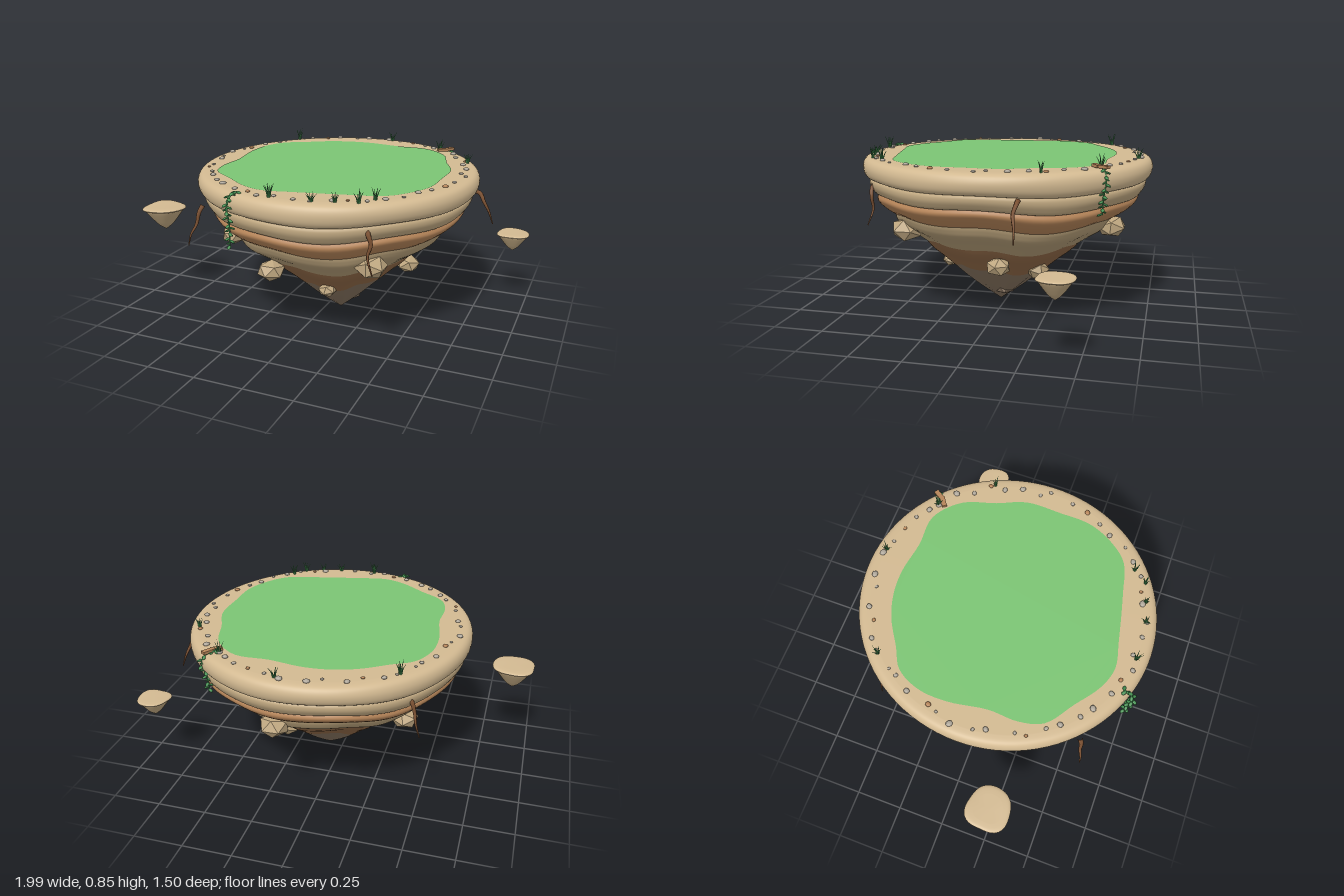
import * as THREE from 'three';
import { mergeVertices, mergeGeometries } from 'three/addons/utils/BufferGeometryUtils.js';

const mat = (name, color, extra = {}) => new THREE.MeshStandardMaterial({ name, color, ...extra });

let seed = 7;
const rnd = () => (seed = (seed * 16807) % 2147483647) / 2147483647;
const V = (x, y, z) => new THREE.Vector3(x, y, z);

// Lathe a smooth profile (bottom to top), then bend every vertex by a rule
function strata(profile, rule, capY, sides = 96) {
  const pts = new THREE.SplineCurve(profile.map(p => new THREE.Vector2(...p))).getPoints(profile.length * 4);
  pts.forEach(p => { p.x = Math.max(p.x, 0); });
  if (capY !== undefined) pts.push(new THREE.Vector2(0, capY));
  let g = new THREE.LatheGeometry(pts, sides);
  g.deleteAttribute('uv');
  g.deleteAttribute('normal');
  const pos = g.attributes.position;
  for (let i = 0; i < pos.count; i++) {
    const x = pos.getX(i), y = pos.getY(i), z = pos.getZ(i);
    pos.setXYZ(i, ...rule(Math.hypot(x, z), y, Math.atan2(z, x)));
  }
  g = mergeVertices(g, 1e-5);
  g.computeVertexNormals();
  return g;
}

// Island: slightly oval, wavy layers, fluted towards an off-centre tip
function islandRule(r, y, a) {
  const low = THREE.MathUtils.clamp(1 - y / 0.6, 0, 1);
  const mid = THREE.MathUtils.clamp((0.76 - y) / 0.2, 0, 1) * Math.min(1, y / 0.15);
  const wob = 1 + 0.008 * mid * Math.sin(5 * a + 9 * y) +
    low * (0.025 * Math.sin(7 * a + 1) + 0.02 * Math.sin(13 * a));
  const dy = mid * (0.011 * Math.sin(3 * a + 0.6) + 0.008 * Math.sin(7 * a + 2));
  return [0.052 + 0.025 * low + Math.cos(a) * r * wob, y + dy, 0.03 * low + Math.sin(a) * r * wob * 1.035];
}

// Thin tapering tube along a few points
function taperTube(points, radius, tip) {
  const curve = new THREE.CatmullRomCurve3(points), n = 14, k = 6;
  const g = new THREE.TubeGeometry(curve, n, radius, k, false);
  const pos = g.attributes.position;
  for (let i = 0; i <= n; i++) {
    const c = curve.getPointAt(i / n), s = 1 + (tip - 1) * i / n;
    for (let j = 0; j <= k; j++) {
      const id = i * (k + 1) + j;
      const p = V(0, 0, 0).fromBufferAttribute(pos, id).sub(c).multiplyScalar(s).add(c);
      pos.setXYZ(id, p.x, p.y, p.z);
    }
  }
  return g;
}

export function createModel() {
  const sand = mat('sand', 0xd2b991);
  const turf = mat('turf', 0x7bc473);
  const clay = mat('clay', 0xb68559);
  const khaki = mat('khaki', 0xb39c76);
  const earth = mat('earth', 0x8f6846);
  const deep = mat('deepStone', 0x84715d);
  const rock = mat('rock', 0xbfa780);
  const pebble = mat('pebble', 0xb0a89b);
  const leaf = mat('leaf', 0x469253, { side: THREE.DoubleSide });
  const root = mat('root', 0x7d5233);

  const model = new THREE.Group();
  model.name = 'floatingIsland';
  const add = (name, geo, material, parent = model) => {
    const m = new THREE.Mesh(geo, material);
    m.name = name;
    parent.add(m);
    return m;
  };

  // Layers of the island, top to bottom
  add('topRim', strata([[0.64, 0.68], [0.69, 0.682], [0.715, 0.703], [0.723, 0.738], [0.715, 0.768],
    [0.695, 0.785], [0.66, 0.79]], islandRule, 0.79), sand);
  add('lowerRim', strata([[0.61, 0.602], [0.662, 0.605], [0.685, 0.63], [0.695, 0.655], [0.69, 0.678], [0.66, 0.69]], islandRule), rock);
  add('clayLayer', strata([[0.565, 0.5], [0.605, 0.525], [0.648, 0.56], [0.662, 0.585], [0.65, 0.61]], islandRule), clay);
  add('khakiLayer', strata([[0.395, 0.35], [0.46, 0.395], [0.535, 0.445], [0.56, 0.48], [0.568, 0.502]], islandRule), khaki);
  add('earthLayer', strata([[0.245, 0.21], [0.3, 0.26], [0.36, 0.31], [0.397, 0.352]], islandRule), earth);
  add('tip', strata([[0, 0], [0.1, 0.08], [0.18, 0.15], [0.246, 0.212]], islandRule), deep);

  // Grass field on top
  const outline = [[0.03, -0.56], [0.2, -0.535], [0.37, -0.53], [0.5, -0.42], [0.56, -0.25], [0.62, -0.1],
    [0.62, 0.08], [0.61, 0.25], [0.55, 0.38], [0.46, 0.475], [0.3, 0.52], [0.05, 0.575], [-0.09, 0.6], [-0.2, 0.565],
    [-0.33, 0.47], [-0.46, 0.37], [-0.495, 0.25], [-0.49, 0.1], [-0.52, -0.1], [-0.51, -0.25], [-0.45, -0.37],
    [-0.35, -0.43], [-0.22, -0.51], [-0.1, -0.55]];
  const edge = new THREE.CatmullRomCurve3(outline.map(([x, z]) => V(x, -z, 0)), true).getPoints(120);
  const field = new THREE.ShapeGeometry(new THREE.Shape(edge.map(p => new THREE.Vector2(p.x, p.y))));
  add('grassField', field.rotateX(-Math.PI / 2).translate(0, 0.792, 0), turf);

  // Faceted, flattened rocks stuck in the underside: x, y, z, radius, material
  const stones = new THREE.Group();
  stones.name = 'embeddedRocks';
  model.add(stones);
  [[0.39, 0.435, 0.44, 0.078, rock], [0.43, 0.28, -0.04, 0.06, rock], [0.11, 0.21, 0.3, 0.045, rock],
    [-0.13, 0.335, 0.45, 0.068, rock], [-0.35, 0.485, 0.42, 0.06, rock], [-0.39, 0.39, -0.22, 0.068, rock],
    [0.18, 0.455, -0.56, 0.072, rock], [0.24, 0.22, -0.2, 0.058, khaki],
    [0.125, 0.08, 0, 0.052, deep]].forEach(([x, y, z, r, material], i) => {
    const g = new THREE.IcosahedronGeometry(r, 0).rotateX(i * 1.3).rotateY(i * 2.1).scale(1.08, 0.8, 1.08);
    add('embeddedRock', g, material, stones).position.set(x, y, z);
  });

  // Small islets floating beside the island
  const islet = (x, y, z, s, turn) => {
    const rule = (r, h, a) => {
      const w = 1 + 0.04 * Math.cos(4 * a + 2.8) + 0.045 * Math.sin(3 * a + turn);
      return [Math.cos(a) * r * w + 0.005, h + r * 0.02 * Math.sin(2 * a), Math.sin(a) * r * w];
    };
    const g = new THREE.Group();
    g.name = 'islet';
    add('isletBody', strata([[0, 0], [0.035, 0.028], [0.065, 0.065], [0.09, 0.1], [0.1, 0.117]], rule, undefined, 40), rock, g);
    add('isletTop', strata([[0.095, 0.115], [0.11, 0.12], [0.112, 0.127], [0.1, 0.133], [0.07, 0.135]], rule, 0.135, 40), sand, g);
    g.position.set(x, y, z);
    g.scale.setScalar(s);
    model.add(g);
  };
  islet(-0.893, 0.39, 0.245, 1, 1.5);
  islet(0.91, 0.3, -0.4, 0.77, 0);

  // Pebbles around the rim, a few of them brown
  const grey = [], brown = [];
  for (let i = 0; i < 48; i++) {
    const a = (i + 0.6 * rnd()) / 48 * Math.PI * 2, r = 0.635 + 0.035 * rnd(), s = 0.007 + 0.009 * rnd();
    (i % 6 === 2 ? brown : grey).push(new THREE.SphereGeometry(1, 10, 6).scale(s * 1.15, s * 0.6, s).rotateY(rnd() * 6)
      .translate(0.05 + Math.cos(a) * r, 0.793, Math.sin(a) * r * 1.04));
  }
  add('pebbles', mergeGeometries(grey), pebble);
  add('brownPebbles', mergeGeometries(brown), clay);

  // Flat stepping stones beside the rear vine
  [[0.47, -0.51], [0.5, -0.545]].forEach(([x, z], i) => {
    const m = add('flatStone', new THREE.BoxGeometry(0.055, 0.014, 0.025), clay);
    m.position.set(x, 0.799, z);
    m.rotation.y = 0.6 + i * 0.4;
  });

  // Grass tufts: x, z, height
  const blades = [];
  [[-0.41, -0.5, 0.065], [0.12, -0.68, 0.05], [0.66, -0.29, 0.06], [-0.01, 0.68, 0.065], [0.19, 0.67, 0.04],
    [0.29, 0.64, 0.045], [0.39, 0.61, 0.062], [0.44, 0.54, 0.062], [0.45, -0.53, 0.065]].forEach(([x, z, h]) => {
    for (let i = 0; i < 7; i++) {
      const a = i * 0.9 + rnd(), lean = 0.012 + 0.018 * rnd(), t = h * (0.65 + 0.35 * rnd());
      const dx = Math.cos(a) * lean, dz = Math.sin(a) * lean;
      blades.push(taperTube([V(x + dx * 0.15, 0.787, z + dz * 0.15), V(x + dx * 0.5, 0.79 + t * 0.55, z + dz * 0.5),
        V(x + dx, 0.79 + t, z + dz)], 0.004, 0.1));
    }
  });
  add('grassTufts', mergeGeometries(blades), leaf);

  // Hanging vines with leaves winding around them
  const vine = (points) => {
    const curve = new THREE.CatmullRomCurve3(points), parts = [taperTube(points, 0.006, 0.5)];
    for (let i = 0; i < 24; i++) {
      const p = curve.getPointAt(i / 23), a = i * 2.4;
      parts.push(new THREE.SphereGeometry(1, 6, 4).scale(0.015, 0.005, 0.01).rotateZ(-0.4).translate(0.012, 0, 0)
        .rotateY(a).translate(p.x, p.y, p.z));
    }
    add('vine', mergeGeometries(parts), leaf);
  };
  vine([V(-0.18, 0.79, 0.67), V(-0.19, 0.785, 0.71), V(-0.2, 0.73, 0.73), V(-0.195, 0.65, 0.72), V(-0.2, 0.54, 0.715)]);
  vine([V(0.46, 0.797, -0.52), V(0.5, 0.79, -0.545), V(0.53, 0.74, -0.56), V(0.515, 0.67, -0.55), V(0.51, 0.58, -0.545)]);

  // Roots hanging from under the rim
  [[V(-0.44, 0.665, 0.55), V(-0.455, 0.63, 0.565), V(-0.47, 0.57, 0.57), V(-0.495, 0.52, 0.585), V(-0.51, 0.46, 0.59)],
    [V(0.42, 0.67, 0.58), V(0.43, 0.65, 0.6), V(0.445, 0.6, 0.6), V(0.43, 0.54, 0.6), V(0.46, 0.46, 0.62)],
    [V(0.72, 0.67, -0.2), V(0.755, 0.66, -0.2), V(0.78, 0.62, -0.19), V(0.805, 0.57, -0.2), V(0.83, 0.5, -0.205)],
    [V(-0.44, 0.665, -0.46), V(-0.465, 0.64, -0.48), V(-0.48, 0.59, -0.48), V(-0.49, 0.53, -0.49), V(-0.51, 0.46, -0.49)],
  ].forEach(points => add('hangingRoot', taperTube(points, 0.013, 0.2), root));

  return model;
}
